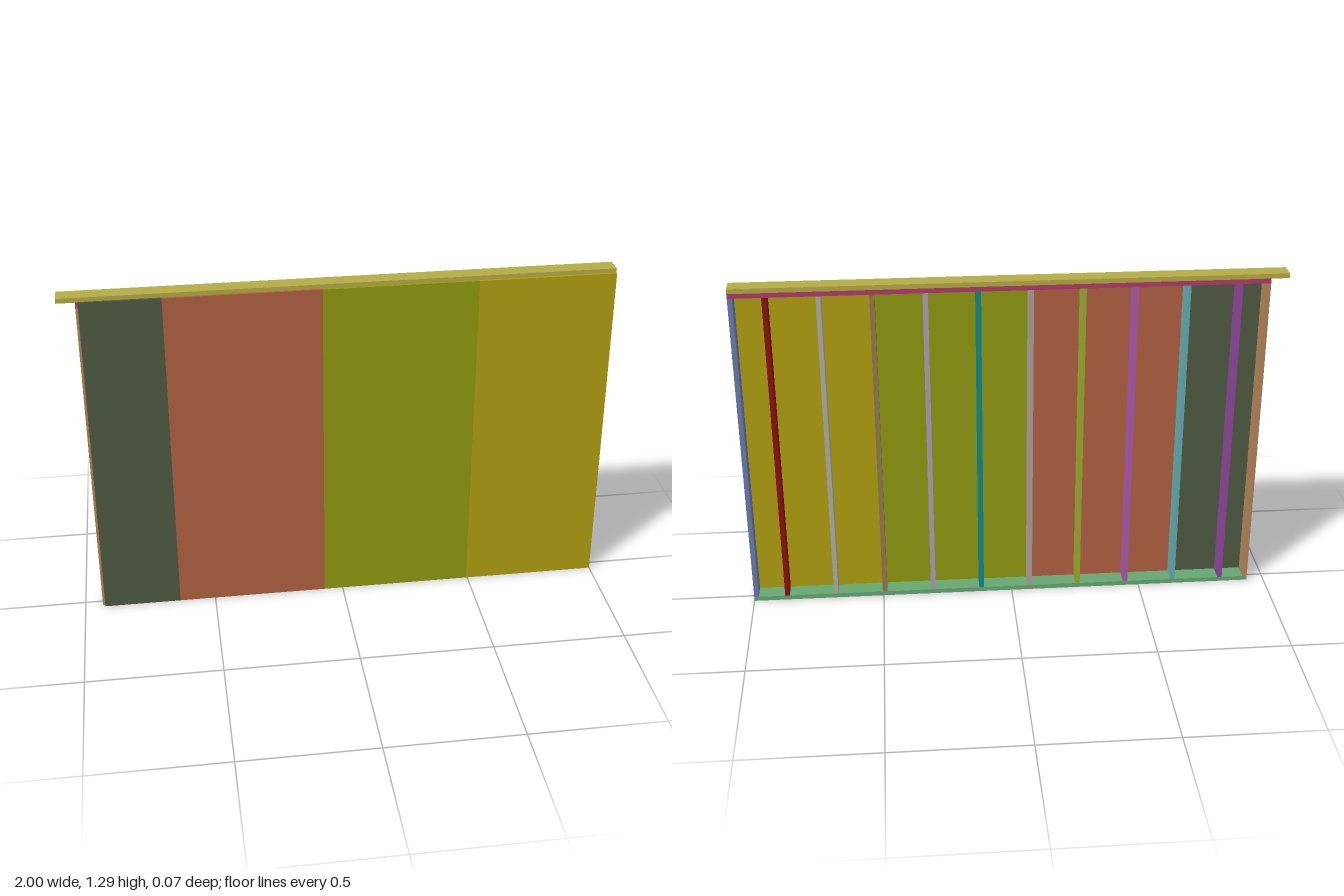
import * as THREE from 'three';

const T = 0.0177;                    // lumber thickness
const BACK = -0.0368, FACE = 0.028, FRONT = 0.0368; // framing back, framing face, sheathing face
const LEFT = 1, RIGHT = -0.934;      // wall ends
const TOP = 1.286;

export function createModel() {
  const wall = new THREE.Group();
  wall.name = 'framedWall';

  // axis-aligned board from its min and max corners
  function board(name, color, x0, x1, y0, y1, z0 = BACK, z1 = FACE) {
    const mesh = new THREE.Mesh(
      new THREE.BoxGeometry(x1 - x0, y1 - y0, z1 - z0),
      new THREE.MeshStandardMaterial({ color })
    );
    mesh.position.set((x0 + x1) / 2, (y0 + y1) / 2, (z0 + z1) / 2);
    mesh.name = name;
    wall.add(mesh);
  }

  // horizontal plates; the upper one overhangs to lap the next wall
  board('bottomPlate', 0x67a772, RIGHT, LEFT, 0, T);
  board('topPlate', 0xb03a6c, RIGHT, LEFT, TOP - 2 * T, TOP - T);
  board('capPlate', 0xb5ab45, -1, LEFT, TOP - T, TOP);

  // studs: one at each end and ten at regular spacing between
  const stud = (name, color, x) => board(name, color, x - T / 2, x + T / 2, T, TOP - 2 * T);
  stud('leftEndStud', 0x6b7db0, LEFT - T / 2);
  const colors = [0x8e0f12, 0xb0b0a5, 0x96794f, 0xb09fb8, 0x0f8a8a,
    0xaf9f9f, 0x9cab2f, 0xad58ad, 0x63adb0, 0x8f479c];
  colors.forEach((color, i) => stud(`stud${i + 1}`, color, 0.872 - i * 0.1885));
  stud('rightEndStud', 0xb5865a, RIGHT + T / 2);

  // sheathing panels with joints on stud centres
  const joints = [-0.925, -0.636, -0.071, 0.495, 1];
  [0x4f5942, 0xb06141, 0x909a10, 0xb0a010].forEach((color, i) =>
    board(`sheathingPanel${i + 1}`, color, joints[i], joints[i + 1], 0, 1.27, FACE, FRONT));

  return wall;
}
